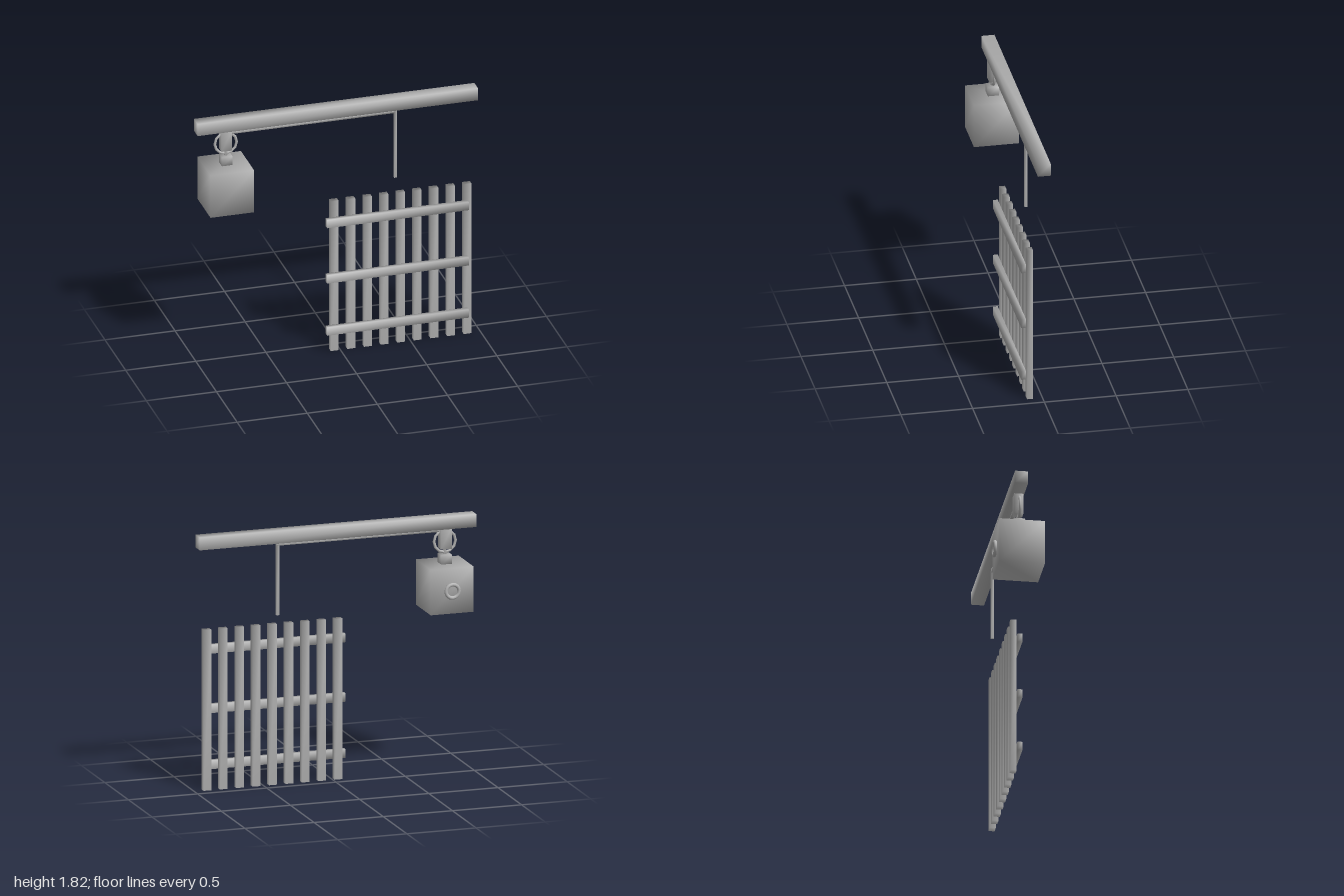
import * as THREE from 'three';
import { mergeVertices } from 'three/addons/utils/BufferGeometryUtils.js';

// Box from min/max corners, with corners welded for soft shading
function softBox(x0, x1, y0, y1, z0, z1) {
  const box = new THREE.BoxGeometry(x1 - x0, y1 - y0, z1 - z0);
  box.deleteAttribute('normal');
  box.deleteAttribute('uv');
  const geo = mergeVertices(box);
  geo.computeVertexNormals();
  geo.translate((x0 + x1) / 2, (y0 + y1) / 2, (z0 + z1) / 2);
  return geo;
}

export function createModel() {
  const model = new THREE.Group();
  model.name = 'counterweightGate';
  const grey = new THREE.MeshStandardMaterial({ color: 0xb4b4b4 });
  grey.name = 'grey';

  const add = (name, geo, parent = model) => {
    const mesh = new THREE.Mesh(geo, grey);
    mesh.name = name;
    parent.add(mesh);
    return mesh;
  };

  // Overhead beam
  add('beam', softBox(-1, 1, 1.73, 1.82, -0.045, 0.045));

  // Hanging weight with its neck, pulley block and rings
  const weight = new THREE.Group();
  weight.name = 'weight';
  model.add(weight);
  const wx = -0.79;
  add('weightBlock', softBox(-0.945, -0.635, 1.16, 1.48, -0.145, 0.17), weight);
  add('weightNeck', softBox(wx - 0.038, wx + 0.038, 1.475, 1.545, -0.027, 0.05), weight);
  add('hangerLink', softBox(wx - 0.01, wx + 0.01, 1.54, 1.6, 0, 0.022), weight);
  add('pulleyBlock', softBox(wx - 0.038, wx + 0.038, 1.585, 1.732, -0.025, 0.04), weight);
  add('pulleyRing', new THREE.TorusGeometry(0.078, 0.01, 6, 12), weight)
    .position.set(wx, 1.635, 0.012);
  add('backRing', new THREE.TorusGeometry(0.047, 0.013, 8, 16), weight)
    .position.set(wx, 1.32, -0.155);

  // Rope along the beam and down towards the gate
  const rope = new THREE.Group();
  rope.name = 'rope';
  model.add(rope);
  add('ropeAcross', softBox(wx, 0.427, 1.703, 1.724, 0.004, 0.025), rope);
  add('ropeDrop', softBox(0.408, 0.428, 1.212, 1.722, 0.004, 0.025), rope);

  // Gate of upright slats joined by three rails
  const gate = new THREE.Group();
  gate.name = 'gate';
  model.add(gate);
  for (let i = 0; i < 9; i++) {
    const x = -0.041 + i * 0.1185;
    add('slat', softBox(x - 0.028, x + 0.028, 0, 1.135, 0.065, 0.108), gate);
  }
  for (const y of [0.168, 0.564, 0.984]) {
    add('rail', softBox(-0.105, 0.905, y - 0.031, y + 0.031, 0.108, 0.142), gate);
  }
  return model;
}
